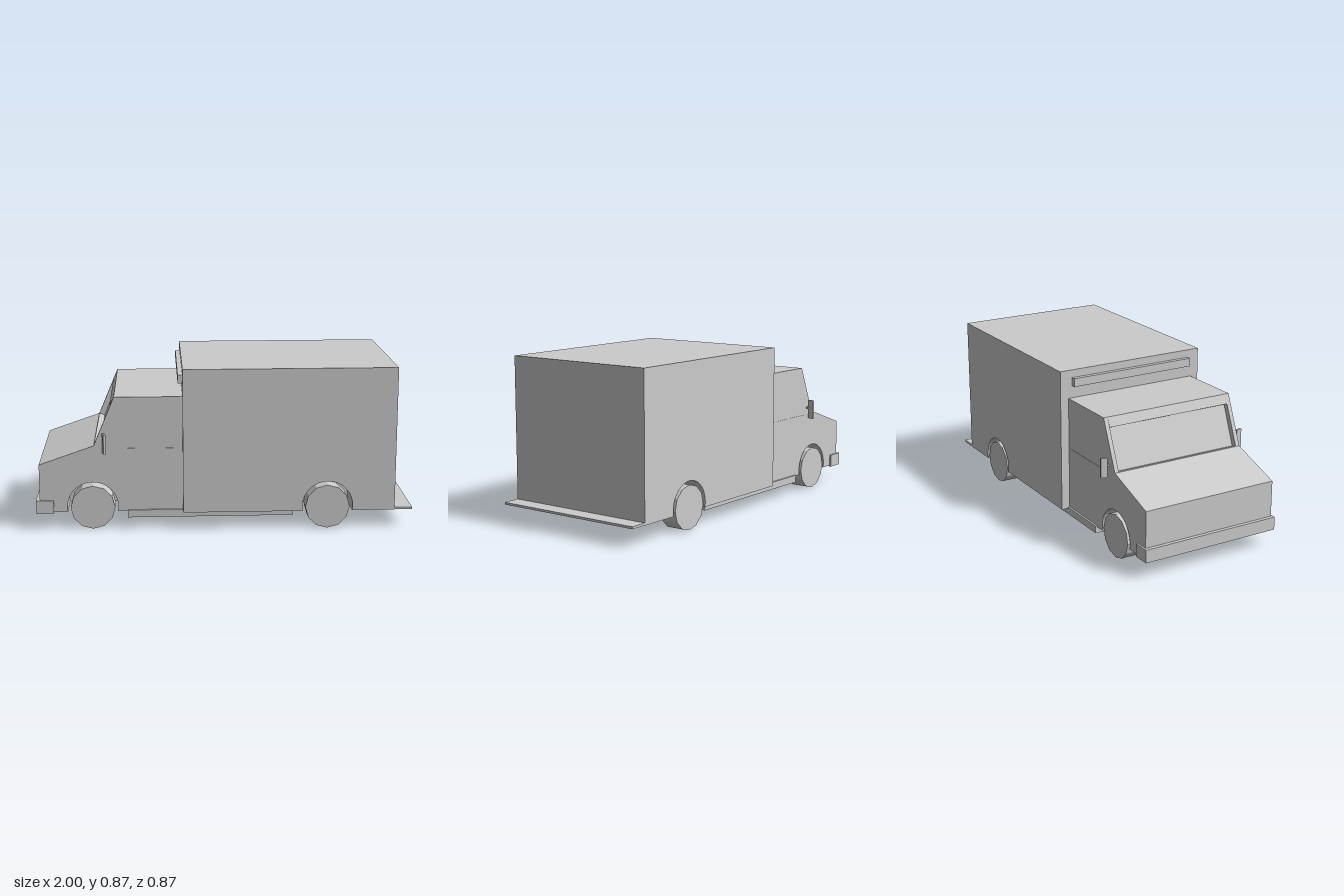
import * as THREE from 'three';

const FLOOR = 0.096, ARCH_Y = 0.122, ARCH_R = 0.135, WHEEL_R = 0.118;
const FRONT_AXLE = -0.7, REAR_AXLE = 0.545;

export function createModel() {
  const model = new THREE.Group();
  const material = new THREE.MeshStandardMaterial({ color: 0xcccccc, flatShading: true });

  const add = (name, geometry) => {
    const mesh = new THREE.Mesh(geometry, material);
    mesh.name = name;
    model.add(mesh);
    return mesh;
  };

  // Box given by its limits on each axis
  const box = (name, x0, x1, y0, y1, z0, z1) => {
    const mesh = add(name, new THREE.BoxGeometry(x1 - x0, y1 - y0, z1 - z0));
    mesh.position.set((x0 + x1) / 2, (y0 + y1) / 2, (z0 + z1) / 2);
    return mesh;
  };

  // Slice of bodywork between z0 and z1; the floor is cut by a wheel arch if an axle is given
  const slice = (name, upper, z0, z1, axle) => {
    const left = upper[upper.length - 1][0], right = upper[0][0];
    const shape = new THREE.Shape();
    shape.moveTo(left, FLOOR);
    if (axle !== undefined) {
      const dip = Math.asin((ARCH_Y - FLOOR) / ARCH_R);
      shape.lineTo(axle - ARCH_R * Math.cos(dip), FLOOR);
      shape.absarc(axle, ARCH_Y, ARCH_R, Math.PI + dip, -dip, true);
    }
    shape.lineTo(right, FLOOR);
    upper.forEach(([x, y]) => shape.lineTo(x, y));
    const geometry = new THREE.ExtrudeGeometry(shape, { depth: z1 - z0, bevelEnabled: false, curveSegments: 10 });
    geometry.translate(0, 0, z0);
    add(name, geometry);
  };

  // Upper outlines, from the rear to the front
  const cargo = [[0.905, 0.867], [-0.222, 0.867]];
  const pillars = [[-0.222, 0.715], [-0.58, 0.715], [-0.69, 0.455], [-0.98, 0.355]];
  const recessed = [[-0.222, 0.715], [-0.58, 0.715], [-0.603, 0.667], [-0.575, 0.655],
    [-0.658, 0.449], [-0.688, 0.46], [-0.69, 0.455], [-0.98, 0.355]];

  // Middle of the cargo box and of the cab, with the recessed windscreen
  slice('cargoBox', cargo, -0.25, 0.25);
  slice('cab', recessed, -0.2, 0.2);

  for (const side of [1, -1]) {
    const span = (a, b) => (side > 0 ? [a, b] : [-b, -a]);
    const label = side > 0 ? 'Near' : 'Far';

    // Outer bodywork with wheel arches
    slice('cargoSide' + label, cargo, ...span(0.25, 0.43), REAR_AXLE);
    slice('cabSide' + label, recessed, ...span(0.2, 0.36), FRONT_AXLE);
    slice('windscreenPillar' + label, pillars, ...span(0.36, 0.383), FRONT_AXLE);

    // Wheels
    for (const [name, x, z] of [['frontWheel', FRONT_AXLE, 0.337], ['rearWheel', REAR_AXLE, 0.381]]) {
      const wheel = add(name + label, new THREE.CylinderGeometry(WHEEL_R, WHEEL_R, 0.096, 12).rotateX(Math.PI / 2));
      wheel.position.set(x, WHEEL_R, side * z);
    }

    // Door belt line and wing mirror
    box('beltLine' + label, -0.62, -0.24, 0.436, 0.44, ...span(0.38, 0.385));
    box('mirrorArm' + label, -0.64, -0.63, 0.475, 0.485, ...span(0.38, 0.415));
    const mirror = box('mirror' + label, -0.641, -0.629, 0.42, 0.525, ...span(0.398, 0.432));
    mirror.rotation.y = side * 0.25;
  }

  // Bumpers, skirt under the body and marker light bar
  box('frontBumper', -1, -0.907, 0.09, 0.16, -0.393, 0.393);
  box('rearStep', 0.9, 1, 0.097, 0.109, -0.43, 0.43);
  box('underSkirt', -0.515, 0.365, 0.063, 0.103, -0.393, 0.393);
  box('roofLightBar', -0.246, -0.22, 0.78, 0.825, -0.36, 0.36);

  return model;
}
